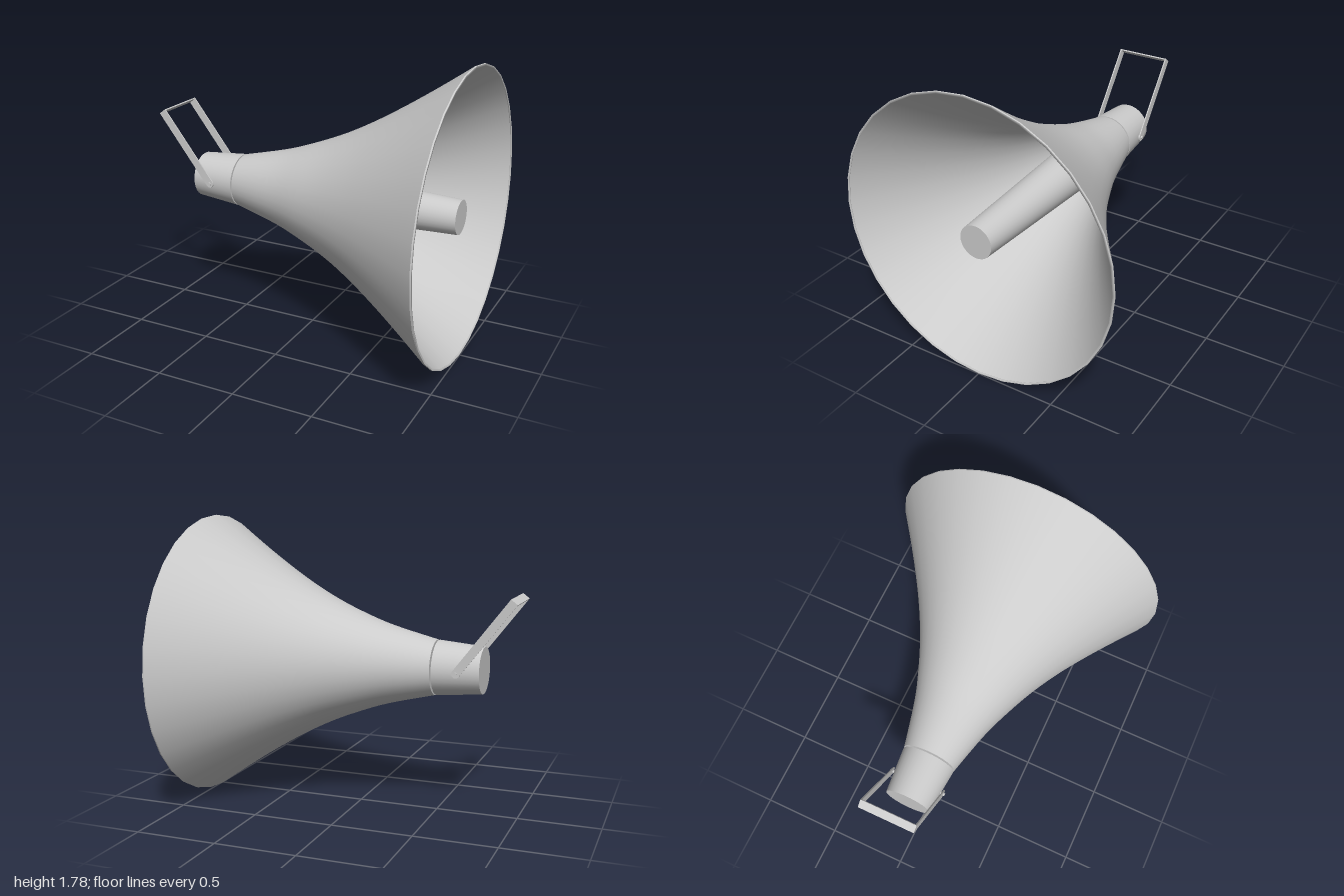
import * as THREE from 'three';

const AXIS_Y = 0.89;
const SIDES = 32;

export function createModel() {
  const model = new THREE.Group();
  const grey = new THREE.MeshStandardMaterial({ color: 0xcccccc, side: THREE.DoubleSide });

  const add = (parent, name, geometry) => {
    const mesh = new THREE.Mesh(geometry, grey);
    mesh.name = name;
    parent.add(mesh);
    return mesh;
  };

  // Revolves [x, radius] points about the horn's horizontal axis
  const revolve = (name, points) => {
    const profile = points.map(([x, r]) => new THREE.Vector2(r, x));
    const geometry = new THREE.LatheGeometry(profile, SIDES).rotateZ(-Math.PI / 2);
    return add(body, name, geometry);
  };

  const body = new THREE.Group();
  body.name = 'body';
  body.position.y = AXIS_Y;
  model.add(body);

  // Flared horn: outer skin, mouth rim, inner skin and throat edge
  const flare = new THREE.SplineCurve([
    [-0.487, 0.168], [-0.2, 0.24], [0, 0.31], [0.2, 0.395],
    [0.4, 0.5], [0.6, 0.622], [0.8, 0.755], [0.992, 0.89],
  ].map(([x, r]) => new THREE.Vector2(x, r)));
  const outer = flare.getPoints(28).map((p) => [p.x, p.y]);
  const inner = outer.map(([x, r]) => [x, r - 0.01]).reverse();
  revolve('hornOuter', outer);
  revolve('hornRim', [[0.992, 0.89], [1, 0.889]]);
  revolve('hornRimFace', [[1, 0.889], [1, 0.877], [0.992, 0.88]]);
  revolve('hornInner', inner);
  revolve('throatEdge', [[-0.487, 0.001], [-0.487, 0.168]]);

  // Tapered core inside the horn, neck across the gap, rear chamber
  const drum = (name, x0, r0, x1, r1) => {
    const geometry = new THREE.CylinderGeometry(r1, r0, x1 - x0, SIDES);
    geometry.rotateZ(-Math.PI / 2).translate((x0 + x1) / 2, 0, 0);
    return add(body, name, geometry);
  };
  drum('core', -0.486, 0.162, 0.96, 0.104);
  drum('neck', -0.51, 0.115, -0.48, 0.115);
  drum('rearChamber', -0.78, 0.142, -0.497, 0.167);

  // Folding handle, built along +x from its pivot and then tilted back
  const handle = new THREE.Group();
  handle.name = 'handle';
  handle.position.set(-0.647, AXIS_Y, 0);
  handle.rotation.z = Math.atan2(0.435, -0.335);
  model.add(handle);

  const LENGTH = 0.548, HALF = 0.025, THICK = 0.008;
  const armShape = new THREE.Shape();
  armShape.moveTo(LENGTH, -HALF);
  armShape.lineTo(LENGTH, HALF);
  armShape.lineTo(0, HALF);
  armShape.absarc(0, 0, HALF, Math.PI / 2, Math.PI * 1.5, false);
  armShape.closePath();

  for (const [side, s] of [['left', 1], ['right', -1]]) {
    const arm = new THREE.ExtrudeGeometry(armShape, { depth: THICK, bevelEnabled: false, curveSegments: 10 });
    arm.translate(0, 0, s * 0.167 - THICK / 2);
    add(handle, `${side}HandleArm`, arm);
    const pin = new THREE.CylinderGeometry(0.01, 0.01, 0.04, 16).rotateX(Math.PI / 2);
    pin.translate(0, 0, s * 0.16);
    add(handle, `${side}HandlePin`, pin);
  }
  const grip = new THREE.BoxGeometry(THICK, HALF * 2, 0.342);
  grip.translate(LENGTH - THICK / 2, 0, 0);
  add(handle, 'handleGrip', grip);

  return model;
}
